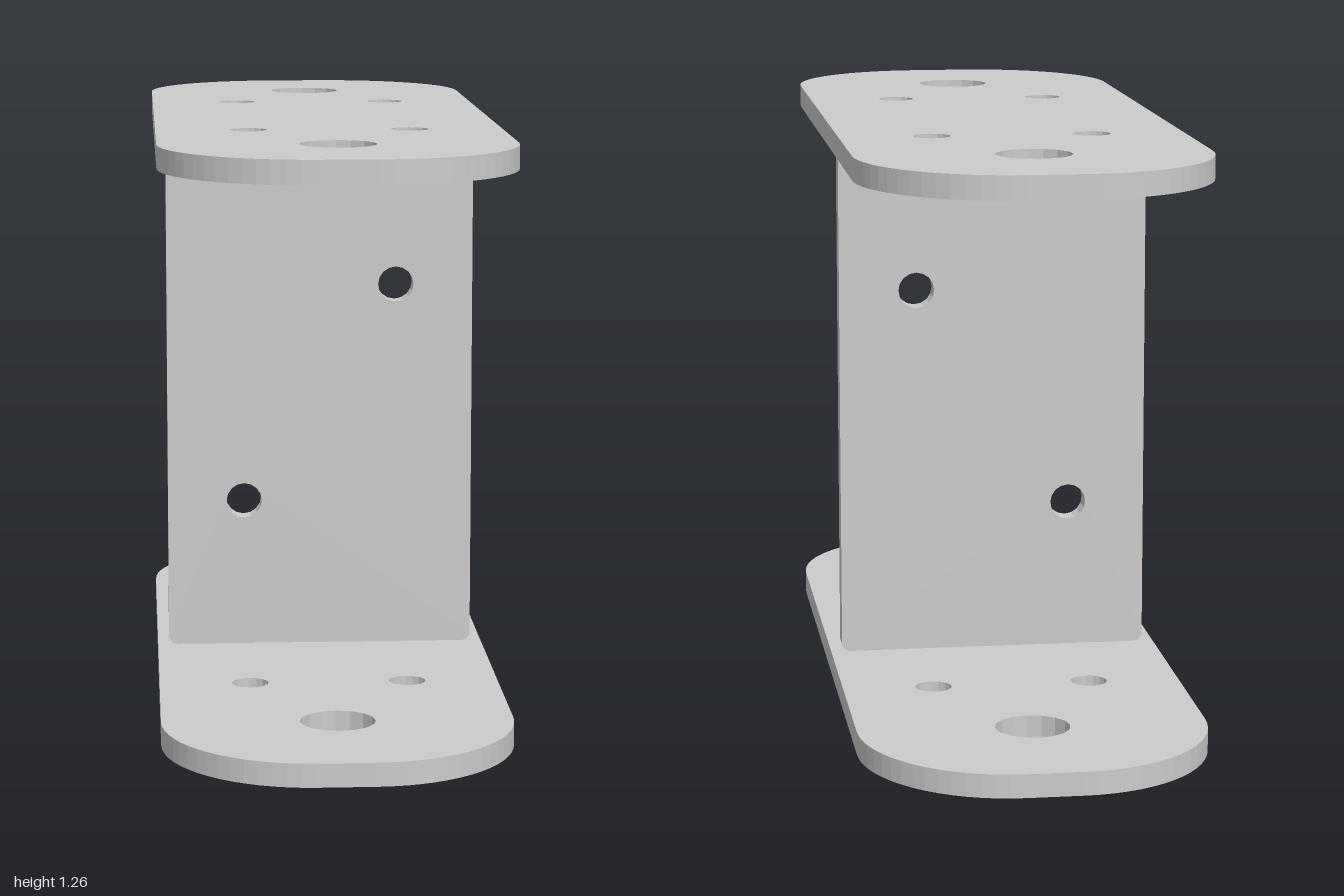
import * as THREE from 'three';

const T = 0.05;       // sheet thickness
const HEIGHT = 1.26;  // overall height

// Rectangle centred on the origin with elliptical corners
function roundedRect(hw, hh, rx, ry) {
  const s = new THREE.Shape();
  s.moveTo(hw, -hh + ry);
  s.lineTo(hw, hh - ry);
  s.absellipse(hw - rx, hh - ry, rx, ry, 0, Math.PI / 2);
  s.absellipse(-hw + rx, hh - ry, rx, ry, Math.PI / 2, Math.PI);
  s.absellipse(-hw + rx, -hh + ry, rx, ry, Math.PI, Math.PI * 1.5);
  s.absellipse(hw - rx, -hh + ry, rx, ry, Math.PI * 1.5, Math.PI * 2);
  return s;
}

function addHole(shape, x, y, r) {
  const p = new THREE.Path();
  p.absarc(x, y, r, 0, Math.PI * 2, true);
  shape.holes.push(p);
}

function sheet(shape, curveSegments) {
  return new THREE.ExtrudeGeometry(shape, { depth: T, bevelEnabled: false, curveSegments });
}

export function createModel() {
  const group = new THREE.Group();
  const material = new THREE.MeshStandardMaterial({ color: 0xcccccc, flatShading: true });

  // Flanges: one large hole at each end, four small bolt holes
  const flangeShape = roundedRect(0.37, 1, 0.31, 0.33);
  for (const s of [-1, 1]) {
    addHole(flangeShape, 0, s * 0.68, 0.08);
    for (const t of [-1, 1]) addHole(flangeShape, t * 0.172, s * 0.358, 0.04);
  }
  const flangeGeometry = sheet(flangeShape, 8).rotateX(-Math.PI / 2);
  for (const [name, y] of [['bottomFlange', 0], ['topFlange', HEIGHT - T]]) {
    const flange = new THREE.Mesh(flangeGeometry, material);
    flange.name = name;
    flange.position.y = y;
    group.add(flange);
  }

  // Upright web with two diagonal holes, its front face on the centre plane
  const webShape = roundedRect(0.345, HEIGHT / 2 - T, 0.02, 0.02);
  for (const s of [-1, 1]) addHole(webShape, s * 0.172, s * 0.247, 0.04);
  const web = new THREE.Mesh(sheet(webShape, 8), material);
  web.name = 'web';
  web.position.set(0, HEIGHT / 2, -T);
  group.add(web);

  return group;
}
